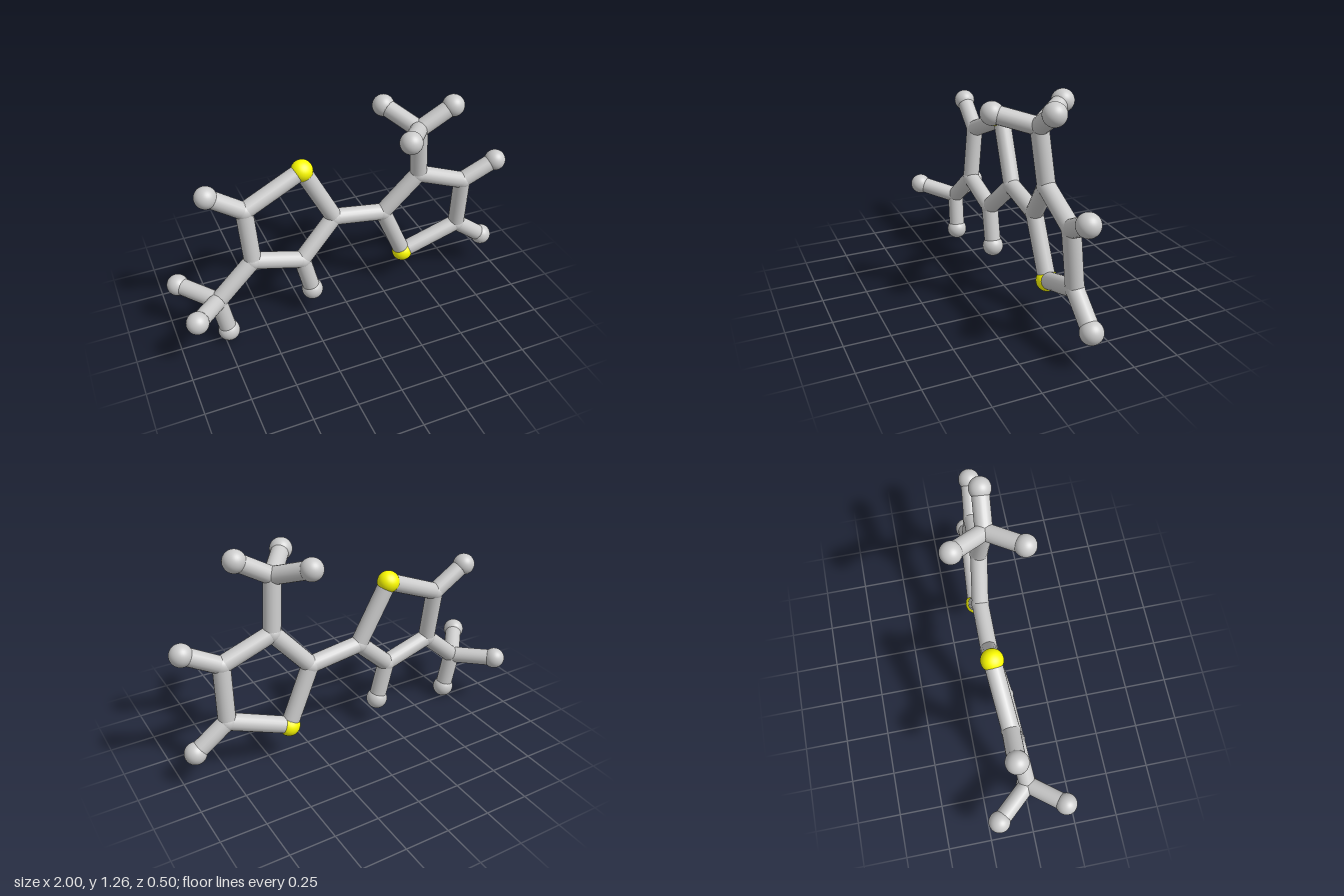
import * as THREE from 'three';

const BOND_R = 0.048, JOINT_R = 0.051, BALL_R = 0.061;

// Atom positions: S = yellow ball, C = bond joint, H = end ball
const ATOMS = {
  // ring on the model's right
  S1: [-0.22, 0.94, -0.085], C1: [-0.045, 0.6, -0.07], C2: [-0.26, 0.395, -0.025],
  C3: [-0.545, 0.48, -0.02], C4: [-0.56, 0.79, -0.055],
  H1: [-0.205, 0.165, -0.02], H2: [-0.75, 0.92, -0.065],
  // its methyl group
  C5: [-0.765, 0.285, 0.005], H3: [-0.725, 0.063, 0.015],
  H4: [-0.92, 0.338, 0.19], H5: [-0.94, 0.305, -0.19],
  // ring on the model's left
  S2: [0.4, 0.22, -0.075], C6: [0.255, 0.555, -0.065], C7: [0.455, 0.785, -0.03],
  C8: [0.74, 0.675, -0.02], C9: [0.745, 0.35, -0.048],
  H6: [0.935, 0.778, 0.003], H7: [0.93, 0.21, -0.042],
  // its methyl group
  C10: [0.425, 1.09, 0.0], H8: [0.615, 1.203, 0.017],
  H9: [0.28, 1.14, 0.188], H10: [0.3, 1.168, -0.192],
};

const BONDS = [
  'S1 C1', 'C1 C2', 'C2 C3', 'C3 C4', 'C4 S1', 'C2 H1', 'C4 H2',
  'C3 C5', 'C5 H3', 'C5 H4', 'C5 H5', 'C1 C6',
  'S2 C6', 'C6 C7', 'C7 C8', 'C8 C9', 'C9 S2', 'C8 H6', 'C9 H7',
  'C7 C10', 'C10 H8', 'C10 H9', 'C10 H10',
];

export function createModel() {
  const model = new THREE.Group();
  model.name = 'molecule';
  const grey = new THREE.MeshStandardMaterial({ color: 0xcccccc });
  const yellow = new THREE.MeshStandardMaterial({ color: 0xffff00 });
  const ball = new THREE.SphereGeometry(BALL_R, 32, 20);
  const joint = new THREE.SphereGeometry(JOINT_R, 32, 20);
  const kinds = {
    S: ['sulfurAtom', ball, yellow],
    C: ['carbonAtom', joint, grey],
    H: ['hydrogenAtom', ball, grey],
  };

  // Atoms
  for (const [id, position] of Object.entries(ATOMS)) {
    const [name, geometry, material] = kinds[id[0]];
    const atom = new THREE.Mesh(geometry, material);
    atom.name = name;
    atom.position.set(...position);
    model.add(atom);
  }

  // Bonds: rods running from atom centre to atom centre
  const up = new THREE.Vector3(0, 1, 0);
  for (const pair of BONDS) {
    const [a, b] = pair.split(' ').map((id) => new THREE.Vector3(...ATOMS[id]));
    const along = b.clone().sub(a);
    const rod = new THREE.Mesh(
      new THREE.CylinderGeometry(BOND_R, BOND_R, along.length(), 20, 1, true), grey);
    rod.name = 'bond';
    rod.position.copy(a).lerp(b, 0.5);
    rod.quaternion.setFromUnitVectors(up, along.normalize());
    model.add(rod);
  }
  return model;
}
